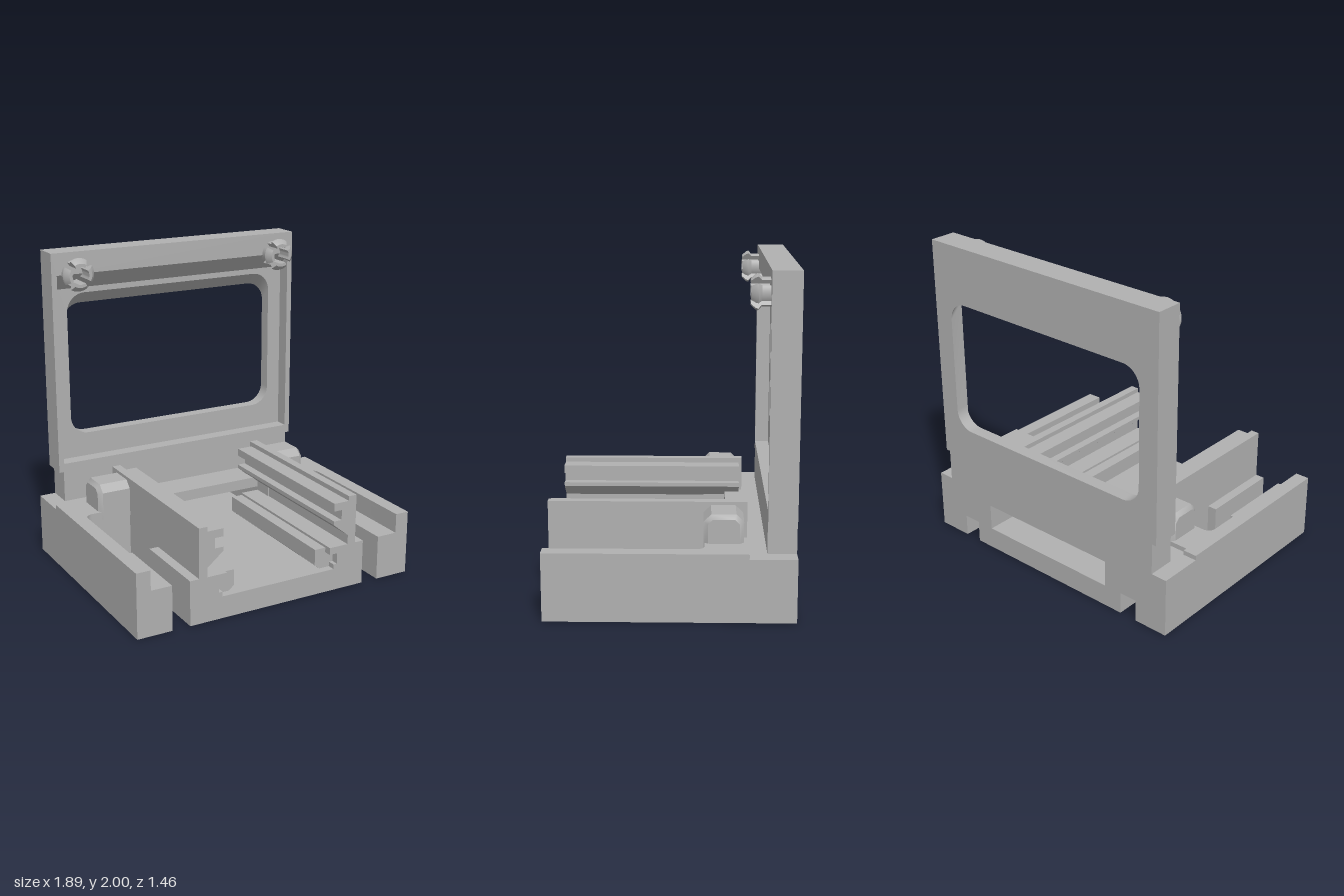
import * as THREE from 'three';
import { toCreasedNormals } from 'three/addons/utils/BufferGeometryUtils.js';

const grey = new THREE.MeshStandardMaterial({ color: 0xb0b0b0, side: THREE.DoubleSide });
grey.name = 'grey plastic';

// Closed outline from [x, y, radius?] corners
function trace(target, pts) {
  pts.forEach(([x, y, r = 0], i) => {
    const from = pts[(i + pts.length - 1) % pts.length], to = pts[(i + 1) % pts.length];
    const step = (p) => {
      const d = Math.hypot(p[0] - x, p[1] - y);
      return [x + (p[0] - x) * r / d, y + (p[1] - y) * r / d];
    };
    const a = step(from), b = step(to);
    if (i === 0) target.moveTo(...a); else target.lineTo(...a);
    if (r) {
      const k = 0.5523;
      target.bezierCurveTo(a[0] + (x - a[0]) * k, a[1] + (y - a[1]) * k,
        b[0] + (x - b[0]) * k, b[1] + (y - b[1]) * k, ...b);
    }
  });
  target.closePath();
  return target;
}
const outline = (pts) => trace(new THREE.Shape(), pts);

function part(parent, name, geometry) {
  const mesh = new THREE.Mesh(toCreasedNormals(geometry, 0.6), grey);
  mesh.name = name;
  parent.add(mesh);
  return mesh;
}

// Plan outline of [x, z, radius?] raised from y0 to y1
function slab(parent, name, pts, y0, y1) {
  const g = new THREE.ExtrudeGeometry(outline(pts.map(([x, z, r]) => [x, -z, r])),
    { depth: y1 - y0, bevelEnabled: false, curveSegments: 8 });
  part(parent, name, g.rotateX(-Math.PI / 2).translate(0, y0, 0));
}

// Front outline run from z0 to z1, with an optional hole
function run(pts, z0, z1, hole) {
  const s = outline(pts);
  if (hole) s.holes.push(trace(new THREE.Path(), hole));
  return new THREE.ExtrudeGeometry(s, { depth: z1 - z0, bevelEnabled: false, curveSegments: 12 })
    .translate(0, 0, z0);
}

const rect = (x0, y0, x1, y1, r = 0) => [[x0, y0, r], [x1, y0, r], [x1, y1, r], [x0, y1, r]];

// Raise the top of a hole towards the front, making a sloped ceiling
function slopeTop(g, yMin, yMax, z0, z1, rise) {
  const p = g.attributes.position;
  for (let i = 0; i < p.count; i++) {
    const y = p.getY(i);
    if (y > yMin && y < yMax) p.setY(i, y + rise * (p.getZ(i) - z0) / (z1 - z0));
  }
  g.computeVertexNormals();
  return g;
}

// One half of the base, on the +x side
function baseHalf() {
  const h = new THREE.Group();
  // Bottom layer, split by the long slot
  slab(h, 'floor', [[0, -0.73], [0.605, -0.73], [0.605, -0.2], [0.545, -0.2], [0.545, 0.2],
    [0.605, 0.2], [0.605, 0.73], [0, 0.73]], 0, 0.14);
  slab(h, 'armFoot', [[0.72, -0.73], [0.945, -0.73], [0.945, 0.73], [0.72, 0.73], [0.72, 0.2],
    [0.855, 0.2, 0.05], [0.855, -0.2, 0.05], [0.72, -0.2]], 0, 0.14);
  // Middle layer, bridged at the back
  slab(h, 'armMiddle', [[0.485, -0.73], [0.945, -0.73], [0.945, 0.73], [0.72, 0.73], [0.72, 0.2],
    [0.855, 0.2, 0.05], [0.855, -0.2, 0.05], [0.545, -0.2], [0.545, 0.2],
    [0.605, 0.2], [0.605, 0.73], [0.485, 0.73]], 0.14, 0.285);
  // Upper layer
  slab(h, 'armTop', [[0.485, -0.73], [0.945, -0.73], [0.945, 0.73], [0.855, 0.73],
    [0.855, -0.2, 0.05], [0.485, -0.2]], 0.285, 0.38);
  slab(h, 'armCap', [[0.5, -0.43], [0.855, -0.43], [0.855, -0.455], [0.945, -0.455], [0.945, 0.73],
    [0.855, 0.73], [0.855, -0.2, 0.05], [0.5, -0.2]], 0.38, 0.41);

  // Grooved upper rail and its outer wall
  part(h, 'upperRail', run([[0.52, 0.285], [0.49, 0.285], [0.49, 0.345], [0.385, 0.43], [0.385, 0.455],
    [0.44, 0.455], [0.44, 0.52], [0.385, 0.52], [0.385, 0.57], [0.52, 0.57]], -0.435, 0.73));
  part(h, 'railWall', run(rect(0.49, 0.285, 0.545, 0.6), -0.455, 0.73));
  // Lower rail with its undercut and inner strip
  part(h, 'lowerRail', run([[0.49, 0.14], [0.39, 0.14], [0.39, 0.17], [0.415, 0.17], [0.415, 0.24],
    [0.36, 0.24], [0.36, 0.285], [0.49, 0.285]], -0.34, 0.73));
  part(h, 'innerStrip', run([[0.415, 0.17], [0.385, 0.14], [0.32, 0.14], [0.285, 0.17], [0.285, 0.27],
    [0.38, 0.27], [0.415, 0.24]], -0.34, 0.68));

  // Bevelled side lug
  const lug = new THREE.ExtrudeGeometry(
    outline([[0.22, 0.38], [0.405, 0.38], [0.405, 0.525], [0.375, 0.555], [0.25, 0.555], [0.22, 0.525]]),
    { depth: 0.185, bevelSize: 0.025, bevelThickness: 0.025, bevelSegments: 1 });
  part(h, 'sideLug', lug.rotateY(Math.PI / 2).translate(0.545, 0, 0));

  h.add(snapClip());
  return h;
}

// Snap clip: four barbed prongs around a ring
function snapClip() {
  const clip = new THREE.Group();
  clip.name = 'snapClip';
  const profile = [[0.055, 0], [0.082, 0], [0.082, 0.145], [0.104, 0.165], [0.098, 0.18],
    [0.075, 0.205], [0.055, 0.205], [0.055, 0]].map(([x, y]) => new THREE.Vector2(x, y));
  const span = 1.1;
  for (let i = 0; i < 4; i++) {
    const start = i * Math.PI / 2 - span / 2;
    part(clip, 'prong', new THREE.LatheGeometry(profile, 8, start, span));
    for (const a of [start, start + span])
      part(clip, 'prongSide', new THREE.ShapeGeometry(new THREE.Shape(profile)).rotateY(a - Math.PI / 2));
  }
  clip.rotation.x = Math.PI / 2;
  clip.position.set(0.72, 1.868, -0.655);
  return clip;
}

export function createModel() {
  const model = new THREE.Group();

  const left = baseHalf();
  left.name = 'leftHalf';
  const right = baseHalf();
  right.name = 'rightHalf';
  right.scale.x = -1;
  model.add(left, right);

  // Cross member above the rear opening
  part(model, 'crossMember', new THREE.BoxGeometry(0.98, 0.07, 0.39).translate(0, 0.345, -0.535));

  // Upright frame: foot, back panel with window, and front border
  const frame = new THREE.Group();
  frame.name = 'frame';
  part(frame, 'frameFoot', new THREE.BoxGeometry(1.68, 0.2, 0.17).translate(0, 0.48, -0.645));
  const panel = run(rect(-0.87, 0.58, 0.87, 2), -0.73, -0.65, rect(-0.74, 0.79, 0.74, 1.64, 0.12));
  part(frame, 'windowPanel', slopeTop(panel, 1.4, 1.7, -0.73, -0.65, 0.08));
  const border = run(rect(-0.87, 0.58, 0.87, 2), -0.65, -0.56, rect(-0.835, 0.635, 0.835, 1.755));
  part(frame, 'frameBorder', slopeTop(border, 1.7, 1.8, -0.65, -0.56, 0.105));
  model.add(frame);
  return model;
}
